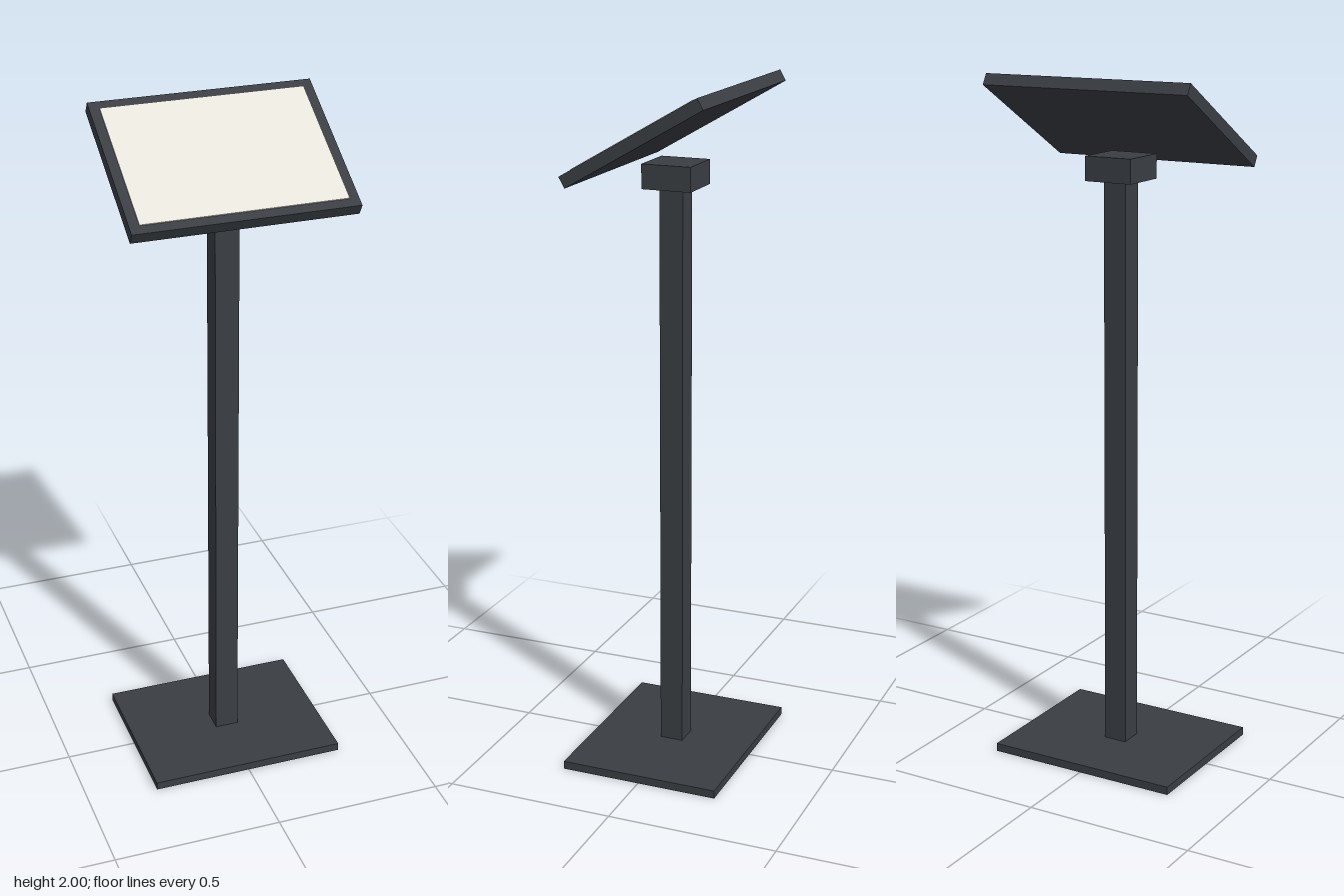
import * as THREE from 'three';

export function createModel() {
  const model = new THREE.Group();
  model.name = 'displayStand';
  const dark = new THREE.MeshStandardMaterial({ color: 0x3a3e43 });
  const pale = new THREE.MeshStandardMaterial({ color: 0xe6e3da });

  // Box whose underside sits at height y
  const box = (name, w, h, d, y, material, parent = model) => {
    const mesh = new THREE.Mesh(new THREE.BoxGeometry(w, h, d), material);
    mesh.name = name;
    mesh.position.y = y + h / 2;
    parent.add(mesh);
    return mesh;
  };

  // Floor plate, square post and the mounting block on top
  box('basePlate', 0.584, 0.024, 0.477, 0, dark);
  box('post', 0.07, 1.682, 0.07, 0.024, dark);
  box('mountBlock', 0.146, 0.07, 0.146, 1.706, dark);

  // Tilted panel, lower edge towards the front
  const panel = new THREE.Group();
  panel.name = 'tiltedPanel';
  panel.position.y = 1.871;
  panel.rotation.x = Math.PI / 6;
  model.add(panel);
  box('panelFrame', 0.64, 0.035, 0.457, -0.0175, dark, panel);
  box('screen', 0.584, 0.0035, 0.404, 0.0175, pale, panel);

  return model;
}
